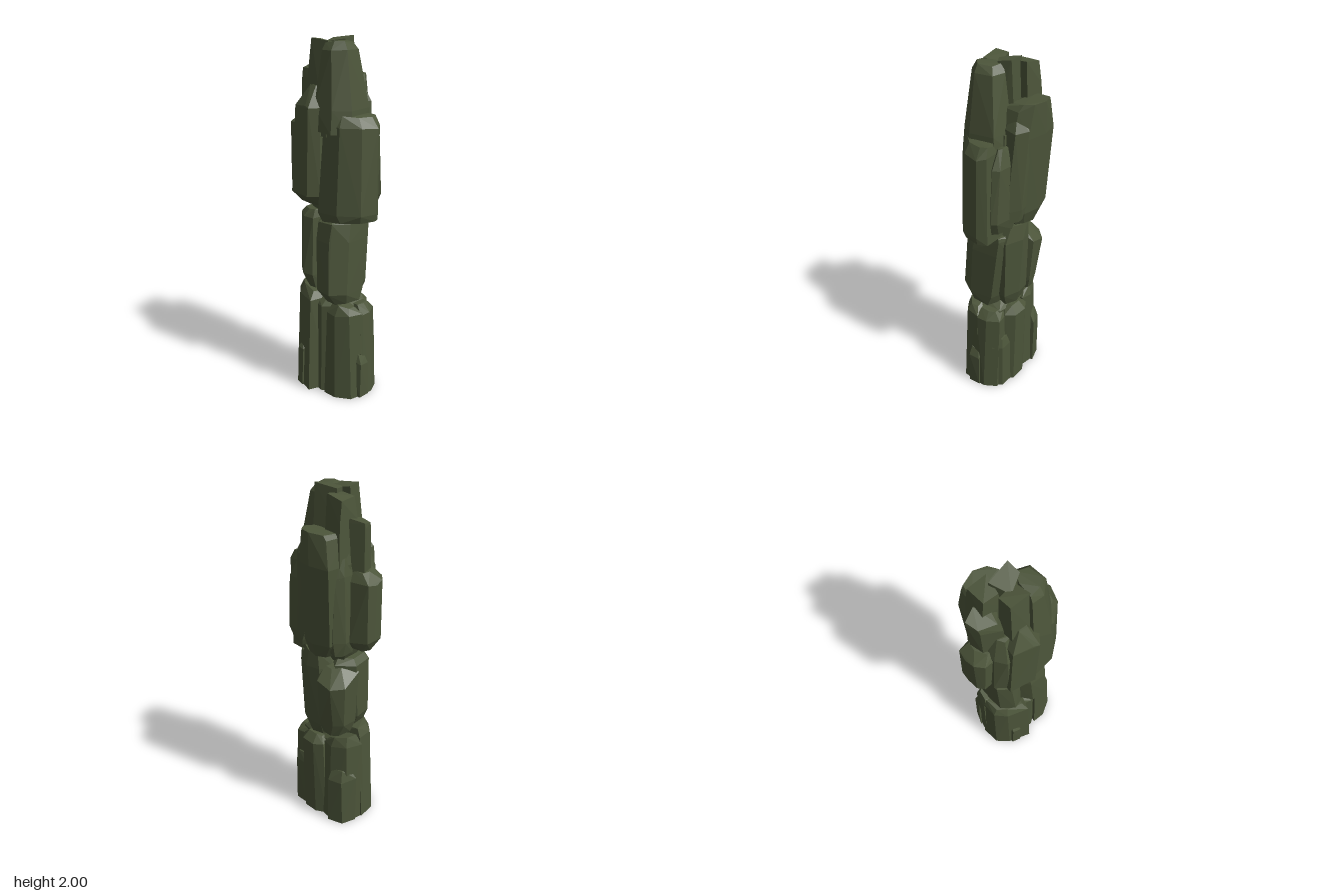
import * as THREE from 'three';
import { ConvexGeometry } from 'three/addons/geometries/ConvexGeometry.js';

// small seeded generator for the chipped corners
let seed = 7;
function rnd() {
  seed = (seed * 16807) % 2147483647;
  return seed / 2147483647 - 0.5;
}

const stone = new THREE.MeshStandardMaterial({ color: 0x4c553a, flatShading: true, side: THREE.DoubleSide });
stone.name = 'mossy stone';

// Leaves a hull open where it stands on the ground
function openBottom(geo) {
  const p = geo.attributes.position, kept = [];
  for (let i = 0; i < p.count; i += 3) {
    if (Math.max(p.getY(i), p.getY(i + 1), p.getY(i + 2)) < 1e-6) continue;
    for (let k = i; k < i + 3; k++) kept.push(p.getX(k), p.getY(k), p.getZ(k));
  }
  const open = new THREE.BufferGeometry();
  open.setAttribute('position', new THREE.Float32BufferAttribute(kept, 3));
  open.computeVertexNormals();
  return open;
}

// One faceted shard: a plan outline [x, z] repeated at levels
// [y, scale, shiftX, shiftZ, slopeX, slopeZ] and wrapped in a hull.
function shard(parent, name, plan, levels) {
  const cx = plan.reduce((s, p) => s + p[0], 0) / plan.length;
  const cz = plan.reduce((s, p) => s + p[1], 0) / plan.length;
  const pts = [];
  for (const [y, k, dx = 0, dz = 0, sx = 0, sz = 0] of levels) {
    for (const [x, z] of plan) {
      const ox = (x - cx) * k, oz = (z - cz) * k;
      const j = y === 0 ? 0 : 0.014;
      pts.push(new THREE.Vector3(
        cx + dx + ox + rnd() * j,
        Math.min(2, y + sx * ox + sz * oz + rnd() * j),
        cz + dz + oz + rnd() * j));
    }
  }
  const mesh = new THREE.Mesh(openBottom(new ConvexGeometry(pts)), stone);
  mesh.name = name;
  parent.add(mesh);
}

function tier(root, name) {
  const g = new THREE.Group();
  g.name = name;
  root.add(g);
  return g;
}

export function createModel() {
  seed = 7;
  const root = new THREE.Group();
  root.name = 'rockPillar';

  // base: upright splinters standing on the ground
  const base = tier(root, 'baseTier');
  shard(base, 'baseCore', [[-0.17, -0.08], [0.02, -0.12], [0.17, -0.1], [0.2, 0.06], [0.06, 0.17], [-0.12, 0.14]],
    [[0, 1], [0.53, 0.88], [0.58, 0.6]]);
  shard(base, 'baseFrontLeft', [[-0.22, 0.02], [-0.2, 0.13], [-0.13, 0.185], [0.01, 0.222], [0.05, 0.1], [-0.06, 0]],
    [[0, 1], [0.56, 0.88, 0, -0.018], [0.605, 0.7, 0, -0.03, -0.15]]);
  shard(base, 'baseFrontRight', [[0.1, 0.03], [0.09, 0.17], [0.17, 0.165], [0.25, 0.11], [0.26, 0.02]],
    [[0, 1], [0.5, 0.87, -0.012, -0.01], [0.55, 0.55, -0.02, -0.02, -0.3]]);
  shard(base, 'baseRight', [[0.08, -0.1], [0.22, -0.11], [0.262, -0.04], [0.26, 0.05], [0.12, 0.06]],
    [[0, 1], [0.49, 0.86, -0.018, -0.01], [0.54, 0.6, -0.03, 0]]);
  shard(base, 'baseBackLeft', [[-0.215, 0.04], [-0.2, -0.08], [-0.1, -0.13], [-0.03, -0.12], [-0.04, 0.04]],
    [[0, 1], [0.52, 0.92, 0.005, 0], [0.57, 0.65, 0, 0, -0.2]]);
  shard(base, 'baseBack', [[-0.05, -0.11], [0.01, -0.145], [0.1, -0.145], [0.14, -0.09], [0.08, 0], [-0.03, 0]],
    [[0, 1], [0.5, 0.95, 0, -0.018], [0.54, 0.65]]);
  // low chips leaning on the base
  shard(base, 'frontChip', [[-0.12, 0.15], [-0.115, 0.2], [-0.06, 0.212], [-0.05, 0.16]],
    [[0, 1], [0.235, 0.94], [0.25, 0.7, 0, -0.01]]);
  shard(base, 'rightChip', [[0.2, -0.02], [0.268, -0.01], [0.272, 0.06], [0.2, 0.08]],
    [[0, 1], [0.22, 0.98, 0, 0, -0.5], [0.26, 0.8, -0.015, 0, -0.3, 0.2]]);
  shard(base, 'backChip', [[0.1, -0.06], [0.11, -0.13], [0.19, -0.13], [0.23, -0.07]],
    [[0, 1], [0.3, 0.95], [0.35, 0.6]]);
  shard(base, 'backLeftChip', [[-0.08, -0.06], [-0.1, -0.145], [-0.19, -0.115], [-0.215, -0.03]],
    [[0, 1], [0.3, 0.95], [0.36, 0.7, 0.01, 0.01]]);

  // waist: blocks leaning backwards
  const waist = tier(root, 'waistTier');
  shard(waist, 'waistRight', [[-0.04, 0.1], [0.03, 0.17], [0.13, 0.17], [0.19, 0.08], [0.18, -0.08], [0.08, -0.13], [0, -0.04]],
    [[0.56, 0.62, 0.035, 0.015], [0.63, 0.88, 0.015, 0.025], [0.92, 1, 0, 0], [1.025, 0.96, 0, -0.015], [1.04, 0.84, 0, -0.02]]);
  shard(waist, 'waistLeft', [[-0.19, 0], [-0.17, 0.12], [-0.09, 0.165], [-0.03, 0.15], [0, 0], [-0.1, -0.08]],
    [[0.61, 0.66, 0.02, 0.01, -0.2], [0.69, 0.92, 0.008, 0.015], [1.03, 1, 0, -0.01], [1.065, 0.72, 0.01, -0.01]]);
  shard(waist, 'waistBackLeft', [[-0.19, 0.01], [-0.19, -0.11], [-0.14, -0.16], [-0.05, -0.168], [0.01, -0.05], [-0.05, 0.03]],
    [[0.6, 0.68, 0.02, 0.01], [0.67, 0.9, 0.012, 0.015], [0.98, 1, 0, 0, 0.45, 0.55], [1.03, 0.6, 0.03, 0.03, 0.2, 0.3]]);
  shard(waist, 'waistBack', [[-0.08, -0.06], [-0.04, -0.15], [0.05, -0.17], [0.14, -0.12], [0.14, 0.04], [-0.06, 0.05]],
    [[0.56, 0.65, 0, 0.01], [0.64, 0.92, 0, 0.015], [1, 1], [1.09, 0.7, 0, -0.02, 0, -0.1]]);

  // shoulders: the widest blocks
  const shoulder = tier(root, 'shoulderTier');
  shard(shoulder, 'shoulderRight', [[0.04, -0.08], [0.255, -0.08], [0.285, -0.03], [0.27, 0.07], [0.18, 0.16], [0.06, 0.175], [0, 0.06]],
    [[1.04, 0.92, 0.006, -0.005, 0.06], [1.09, 1], [1.56, 0.92, 0.003, -0.012, -0.08], [1.61, 0.72, -0.005, -0.02, -0.08]]);
  shard(shoulder, 'shoulderCore', [[-0.17, -0.06], [-0.03, -0.13], [0.13, -0.1], [0.14, 0.08], [0, 0.15], [-0.15, 0.1]],
    [[1.04, 0.65], [1.14, 0.97], [1.5, 1], [1.64, 0.88]]);
  shard(shoulder, 'shoulderFront', [[-0.145, 0.03], [-0.14, 0.195], [-0.02, 0.21], [0.02, 0.222], [0.06, 0.16], [0.04, 0.02]],
    [[1.11, 0.72, -0.005, -0.03], [1.175, 0.97], [1.65, 0.8, 0.01, 0.008], [1.75, 0.3, 0.015, -0.02]]);
  shard(shoulder, 'shoulderFrontLeft', [[-0.2, 0.04], [-0.19, 0.125], [-0.13, 0.185], [-0.04, 0.16], [-0.05, 0.02]],
    [[1.12, 0.8, 0.01, -0.015], [1.17, 0.97], [1.55, 0.95], [1.69, 0.5, 0.02, -0.02]]);
  shard(shoulder, 'shoulderLeft', [[-0.285, -0.035], [-0.285, 0.03], [-0.27, 0.08], [-0.235, 0.12], [-0.12, 0.11], [-0.1, -0.06], [-0.18, -0.065]],
    [[1.145, 0.76, 0.018, 0], [1.2, 1], [1.53, 0.97, 0.003, 0, 0.1], [1.585, 0.6, 0.03, 0, 0.2]]);
  shard(shoulder, 'shoulderBack', [[-0.16, -0.19], [-0.05, -0.222], [0.05, -0.19], [0.1, -0.14], [0.1, -0.02], [-0.17, -0.04]],
    [[1.1, 0.62, 0.01, 0.015], [1.18, 0.9, 0.005, 0.015], [1.62, 1], [1.76, 0.84, -0.005, -0.005], [1.79, 0.68, -0.01, -0.025]]);
  shard(shoulder, 'shoulderBackLean', [[0, -0.2], [0.05, -0.198], [0.11, -0.155], [0.1, -0.08], [0.02, -0.08]],
    [[1.15, 0.75, 0.05, 0.02], [1.22, 0.98, 0.04, 0.018], [1.66, 0.98], [1.74, 0.6, -0.02, 0.01]]);
  shard(shoulder, 'shoulderBackRight', [[0.06, -0.1], [0.09, -0.15], [0.14, -0.135], [0.22, -0.125], [0.25, -0.095], [0.16, -0.02]],
    [[1.1, 0.75, 0, 0.01], [1.18, 1], [1.48, 0.9, -0.01, 0], [1.58, 0.55, -0.03, 0.01]]);
  shard(shoulder, 'shoulderBackLeft', [[-0.19, -0.1], [-0.16, -0.16], [-0.08, -0.15], [-0.08, 0], [-0.18, -0.02]],
    [[1.12, 0.75], [1.2, 1], [1.56, 0.97], [1.66, 0.65]]);

  // crown: slim shards tapering to the summit
  const crown = tier(root, 'crownTier');
  shard(crown, 'crownPeak', [[-0.07, -0.05], [0.045, -0.085], [0.07, -0.005], [-0.02, 0.045]],
    [[1.55, 1.3], [1.8, 1.12], [1.985, 1, 0, 0, 0.12, -0.15]]);
  shard(crown, 'crownFront', [[-0.085, 0.04], [0.03, 0.01], [0.04, 0.1], [-0.075, 0.1]],
    [[1.5, 1.6, 0.02, 0.035], [1.975, 1, 0, 0, -0.08, 0.1]]);
  shard(crown, 'crownRight', [[0.03, 0.02], [0.03, 0.125], [0.105, 0.12], [0.155, 0.06], [0.14, -0.04], [0.06, -0.06]],
    [[1.52, 1.5, 0.022, 0.005], [1.64, 1.4, 0.018, 0.003], [1.94, 0.98], [1.975, 0.75, -0.01, 0]]);
  shard(crown, 'crownLeft', [[-0.155, -0.105], [-0.05, -0.1], [-0.06, 0.015], [-0.15, 0.01]],
    [[1.55, 1.3, -0.005, 0], [1.83, 1.1], [1.955, 0.92, 0, 0, 0.15]]);
  shard(crown, 'crownLowLeft', [[-0.24, -0.005], [-0.21, 0.065], [-0.1, 0.095], [-0.08, 0.01], [-0.15, -0.055]],
    [[1.57, 0.95, 0.01, 0], [1.8, 1, 0, 0, 0, -0.35], [1.835, 0.82, -0.01, -0.01, 0, -0.2]]);

  return root;
}
